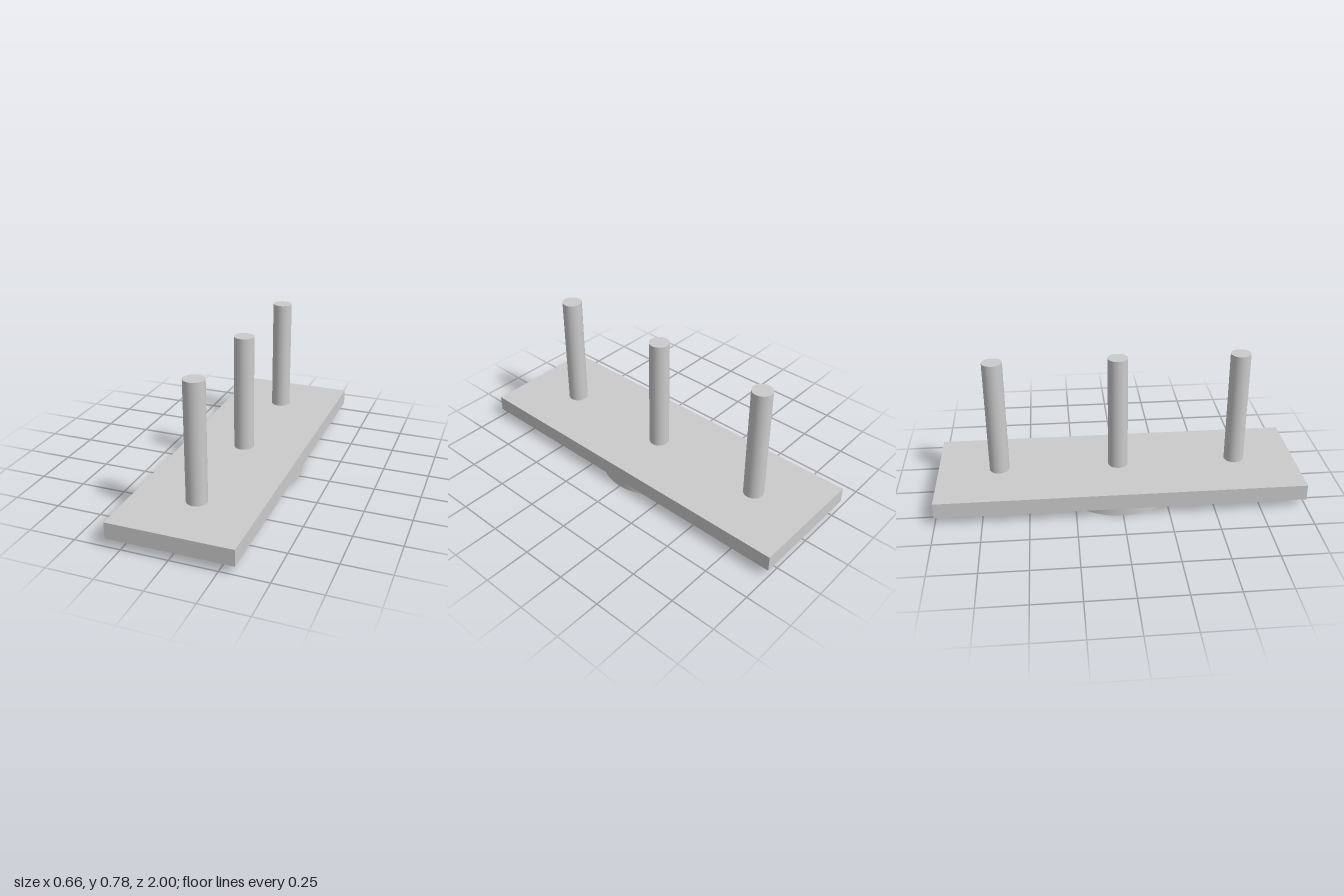
import * as THREE from 'three';

export function createModel() {
  const model = new THREE.Group();
  const material = new THREE.MeshStandardMaterial({ color: 0xcccccc });

  const add = (name, geometry, x, y, z) => {
    const mesh = new THREE.Mesh(geometry, material);
    mesh.name = name;
    mesh.position.set(x, y, z);
    model.add(mesh);
  };

  const footHeight = 0.045, plateTop = 0.133, pegTop = 0.778;

  // Round foot under the plate
  add('foot', new THREE.CylinderGeometry(0.328, 0.328, footHeight, 64), 0, footHeight / 2, 0);

  // Rectangular base plate
  add('plate', new THREE.BoxGeometry(0.662, plateTop - footHeight, 2), 0, (plateTop + footHeight) / 2, 0);

  // Three upright pegs along the plate
  const pegHeight = pegTop - plateTop;
  const pegGeometry = new THREE.CylinderGeometry(0.055, 0.055, pegHeight, 32);
  [['frontPeg', 0.662], ['middlePeg', 0], ['backPeg', -0.662]].forEach(([name, z]) =>
    add(name, pegGeometry, 0, plateTop + pegHeight / 2, z));

  return model;
}
